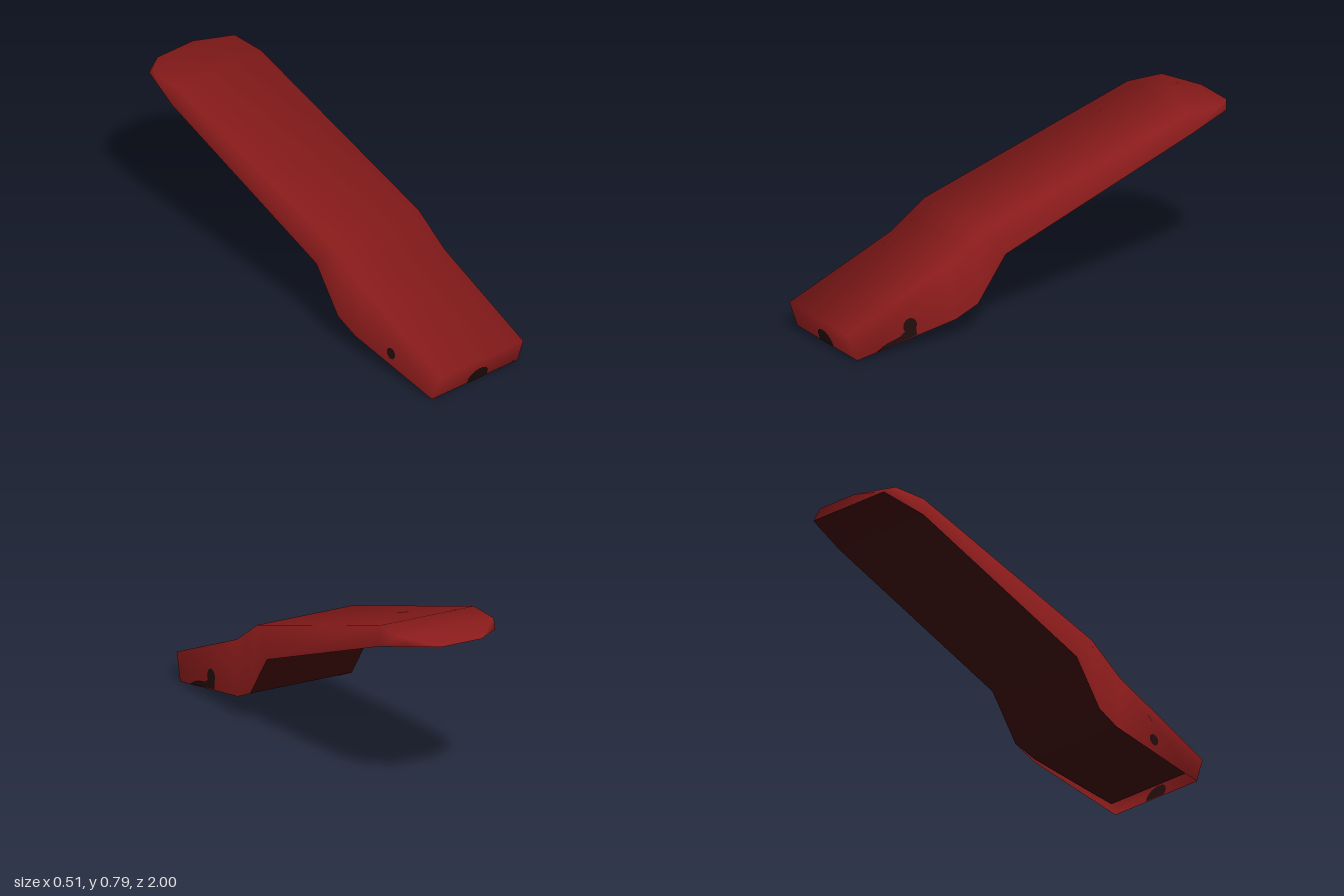
import * as THREE from 'three';

const material = (name, color) => {
  const m = new THREE.MeshStandardMaterial({ color, side: THREE.DoubleSide });
  m.name = name;
  return m;
};
const red = material('deepRed', 0x8a1b1b);
const maroon = material('darkMaroon', 0x3a0909);
const dark = material('nearBlack', 0x220c0c);

// Stations from front to back: rim [x, y, z] and top edge [x, y, z] on the +x side
const stations = [
  [[0.245, 0, 0.955], [0.236, 0.12, 1]],
  [[0.25, 0.09, 0.46], [0.237, 0.34, 0.49]],
  [[0.253, 0.14, 0.35], [0.237, 0.4, 0.405]],
  [[0.253, 0.34, 0.21], [0.237, 0.46, 0.32]],
  [[0.253, 0.7, -0.73], [0.236, 0.787, -0.71]],
  [[0.212, 0.755, -0.93], [0.234, 0.787, -0.88]],
  [[0.102, 0.755, -1], [0.102, 0.755, -1]],
];

// Channel: two side walls and a top, closed at the front, pointed at the back
function shellGeometry() {
  const points = [], index = [];
  for (const [rim, top] of stations) {
    for (const [p, side] of [[rim, 1], [top, 1], [top, -1], [rim, -1]]) {
      points.push(new THREE.Vector3(p[0] * side, p[1], p[2]));
    }
  }
  const normals = points.map(() => new THREE.Vector3());
  const quad = (a, b, c, d) => {
    index.push(a, b, c, a, c, d);
    // every face counts equally, so shading rolls softly over the edges
    const n = points[c].clone().sub(points[a]).cross(points[d].clone().sub(points[b])).normalize();
    for (const i of [a, b, c, d]) normals[i].add(n);
  };
  quad(0, 1, 2, 3);
  for (let s = 0; s < stations.length - 1; s++) {
    const a = s * 4;
    quad(a, a + 4, a + 5, a + 1);
    quad(a + 1, a + 5, a + 6, a + 2);
    quad(a + 6, a + 7, a + 3, a + 2); // diagonal mirrors the other wall
  }
  quad(23, 27, 24, 20); // underside of the tip
  const g = new THREE.BufferGeometry().setFromPoints(points);
  g.setAttribute('normal', new THREE.Float32BufferAttribute(
    normals.flatMap((n) => n.normalize().toArray()), 3));
  g.setIndex(index);
  return g;
}

// Underside panel: set in from the walls at the front, flush with the rim further back
function undersideGeometry() {
  const rows = [[0.225, 0.03, 0.91], [0.242, 0.098, 0.46], ...stations.slice(2, 6).map(([rim]) => rim)];
  const points = rows.flatMap(([x, y, z]) => [new THREE.Vector3(x, y, z), new THREE.Vector3(-x, y, z)]);
  const index = [];
  for (let i = 0; i < points.length - 2; i += 2) {
    index.push(i, i + 1, i + 3, i, i + 3, i + 2);
  }
  const indexed = new THREE.BufferGeometry().setFromPoints(points);
  indexed.setIndex(index);
  const g = indexed.toNonIndexed();
  g.computeVertexNormals();
  return g;
}

function part(name, geometry, mat) {
  const mesh = new THREE.Mesh(geometry, mat);
  mesh.name = name;
  return mesh;
}

// Flat shape whose points are moved onto a wall by a rule
function mark(name, shape, place) {
  const g = new THREE.ShapeGeometry(shape, 10);
  const p = g.attributes.position;
  for (let i = 0; i < p.count; i++) p.setXYZ(i, ...place(p.getX(i), p.getY(i)));
  g.computeVertexNormals();
  return part(name, g, dark);
}

// Point just outside the front part of a side wall, for a given z and y
const onSide = (side) => (z, y) => {
  const low = 0.09 * (0.955 - z) / 0.495;
  const high = 0.12 + 0.22 * (1 - z) / 0.51;
  const x = THREE.MathUtils.lerp(0.2475, 0.2365, (y - low) / (high - low));
  return [side * (x + 0.003), y, z];
};

export function createModel() {
  const group = new THREE.Group();
  group.name = 'angledCover';
  group.add(part('shell', shellGeometry(), red));
  group.add(part('undersidePanel', undersideGeometry(), maroon));

  // Notch at the front edge, seen from outside and inside
  const notch = new THREE.Shape();
  notch.moveTo(0.06, 0.003);
  notch.lineTo(0.06, 0.03);
  notch.bezierCurveTo(0.045, 0.083, -0.035, 0.083, -0.05, 0.03);
  notch.lineTo(-0.05, 0.003);
  for (const offset of [0.003, -0.003]) {
    group.add(mark('frontNotch', notch, (x, y) => [x, y, 0.955 + 0.375 * y + offset]));
  }

  // Round spots on both sides, with a smear below the +x one
  for (const [side, radius] of [[1, 0.034], [-1, 0.026]]) {
    const spot = new THREE.Shape().absarc(0.69, 0.108, radius, 0, Math.PI * 2);
    group.add(mark('sideSpot', spot, onSide(side)));
  }
  const smear = new THREE.Shape([
    [0.86, 0.021], [0.81, 0.05], [0.74, 0.068], [0.71, 0.09], [0.66, 0.09], [0.657, 0.06],
  ].map(([z, y]) => new THREE.Vector2(z, y)));
  group.add(mark('sideSmear', smear, onSide(1)));
  return group;
}
